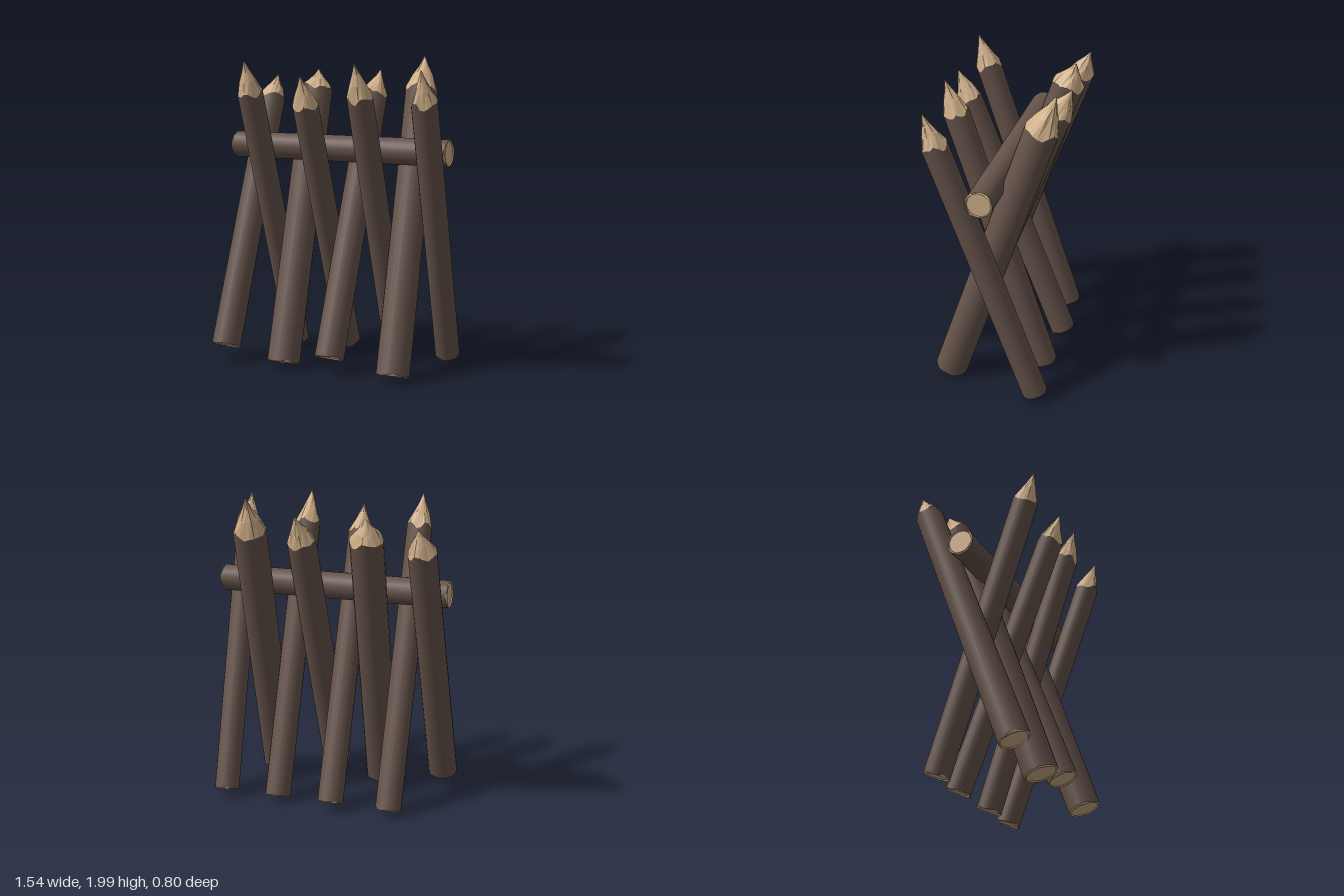
import * as THREE from 'three';

const SIDES = 20;
const bark = new THREE.MeshStandardMaterial({ color: 0x65534a });
bark.name = 'dark bark';
const wood = new THREE.MeshStandardMaterial({ color: 0xcfae88 });
wood.name = 'cut wood';

// Seeded noise in -1..1
function makeNoise(seed) {
  let s = seed * 7919 + 17;
  return () => {
    s = (s * 16807) % 2147483647;
    return (s / 2147483647) * 2 - 1;
  };
}

// Skin between closed rings of points, listed along the log's axis
function loft(rings, faceted) {
  const n = SIDES, index = [];
  for (let i = 0; i < rings.length - 1; i++) {
    for (let j = 0; j < n; j++) {
      const a = i * n + j, b = i * n + (j + 1) % n;
      index.push(a, b, b + n, a, b + n, a + n);
    }
  }
  let g = new THREE.BufferGeometry().setFromPoints(rings.flat());
  g.setIndex(index);
  if (faceted) g = g.toNonIndexed();
  g.computeVertexNormals();
  return g;
}

// A bark log with ragged ends; sharpened when a tip is given, sawn otherwise
function makeLog(name, seed, from, to, r0, r1, tip) {
  const noise = makeNoise(seed);
  const p0 = new THREE.Vector3(...from), p1 = new THREE.Vector3(...to);
  const axis = p1.clone().sub(p0).normalize();
  const side = Math.abs(axis.x) > 0.7 ? new THREE.Vector3(0, 1, 0) : new THREE.Vector3(1, 0, 0);
  const u = side.addScaledVector(axis, -side.dot(axis)).normalize();
  const v = axis.clone().cross(u);

  const ring = (center, radius, rough, lift) => Array.from({ length: SIDES }, (_, j) => {
    const t = (j / SIDES) * Math.PI * 2, r = radius * (1 + rough * noise());
    return center.clone()
      .addScaledVector(u, Math.cos(t) * r)
      .addScaledVector(v, Math.sin(t) * r)
      .addScaledVector(axis, lift ? lift(t) : 0);
  });
  const ragged = (size) => {
    const a = noise() * 3, b = noise() * 3;
    return (t) => size * (0.5 * Math.sin(3 * t + a) + 0.35 * Math.sin(5 * t + b) + 0.35 * noise());
  };

  const bottom = ring(p0, r0, 0.01, ragged(0.009));
  const top = ring(p1, r1, 0.01, ragged(tip ? 0.026 : 0.009));
  const group = new THREE.Group();
  group.name = name;
  const add = (part, geometry, material) => {
    const mesh = new THREE.Mesh(geometry, material);
    mesh.name = part;
    group.add(mesh);
  };
  add('bark', loft([bottom, top]), bark);

  // Sawn end: a narrow rim around a slightly sunken face
  const sawn = (edge, center, radius, out) => {
    const at = (d) => center.clone().addScaledVector(axis, d * out);
    const rings = [edge, ring(at(0.006), radius * 0.9, 0.02), ring(at(-0.002), radius * 0.86, 0.02), ring(at(-0.002), 0.0005, 0)];
    return loft(out > 0 ? rings : rings.reverse(), true);
  };
  add('bottomCut', sawn(bottom, p0, r0, -1), wood);

  if (tip) {
    // Whittled point with uneven facets
    const end = new THREE.Vector3(...tip);
    const low = ring(p1.clone().lerp(end, 0.4), r1 * 0.63, 0.08);
    const high = ring(p1.clone().lerp(end, 0.72), r1 * 0.27, 0.1);
    add('sharpenedPoint', loft([top, low, high, ring(end, 0.002, 0)], true), wood);
  } else {
    add('topCut', sawn(top, p1, r1, 1), wood);
  }
  return group;
}

export function createModel() {
  const model = new THREE.Group();
  model.name = 'stakeBarricade';

  // bottom centre, shoulder centre, bottom radius, shoulder radius, tip
  const backLeaning = [
    [[-0.68, 0.115, 0.31], [-0.647, 1.72, -0.29], 0.096, 0.088, [-0.632, 1.87, -0.35]],
    [[-0.26, 0.047, 0.3], [-0.298, 1.775, -0.275], 0.107, 0.103, [-0.305, 1.91, -0.32]],
    [[0.072, 0.115, 0.31], [0.105, 1.745, -0.3], 0.095, 0.09, [0.12, 1.91, -0.385]],
    [[0.497, 0.047, 0.295], [0.45, 1.785, -0.28], 0.105, 0.104, [0.44, 2.0, -0.36]],
  ];
  const frontLeaning = [
    [[-0.46, 0.047, -0.28], [-0.485, 1.77, 0.3], 0.083, 0.081, [-0.49, 1.97, 0.367]],
    [[-0.085, 0.065, -0.32], [-0.087, 1.7, 0.315], 0.082, 0.081, [-0.09, 1.88, 0.385]],
    [[0.29, 0.047, -0.28], [0.268, 1.755, 0.29], 0.083, 0.081, [0.262, 1.955, 0.36]],
    [[0.643, 0.057, -0.3], [0.687, 1.725, 0.292], 0.08, 0.08, [0.69, 1.92, 0.36]],
  ];
  backLeaning.forEach((s, i) => model.add(makeLog('backLeaningStake' + (i + 1), i + 1, ...s)));
  frontLeaning.forEach((s, i) => model.add(makeLog('frontLeaningStake' + (i + 1), i + 11, ...s)));

  // Cross rail resting in the crotch of the stakes
  model.add(makeLog('crossRail', 23, [-0.757, 1.414, -0.015], [0.745, 1.41, 0.02], 0.086, 0.085));
  return model;
}
